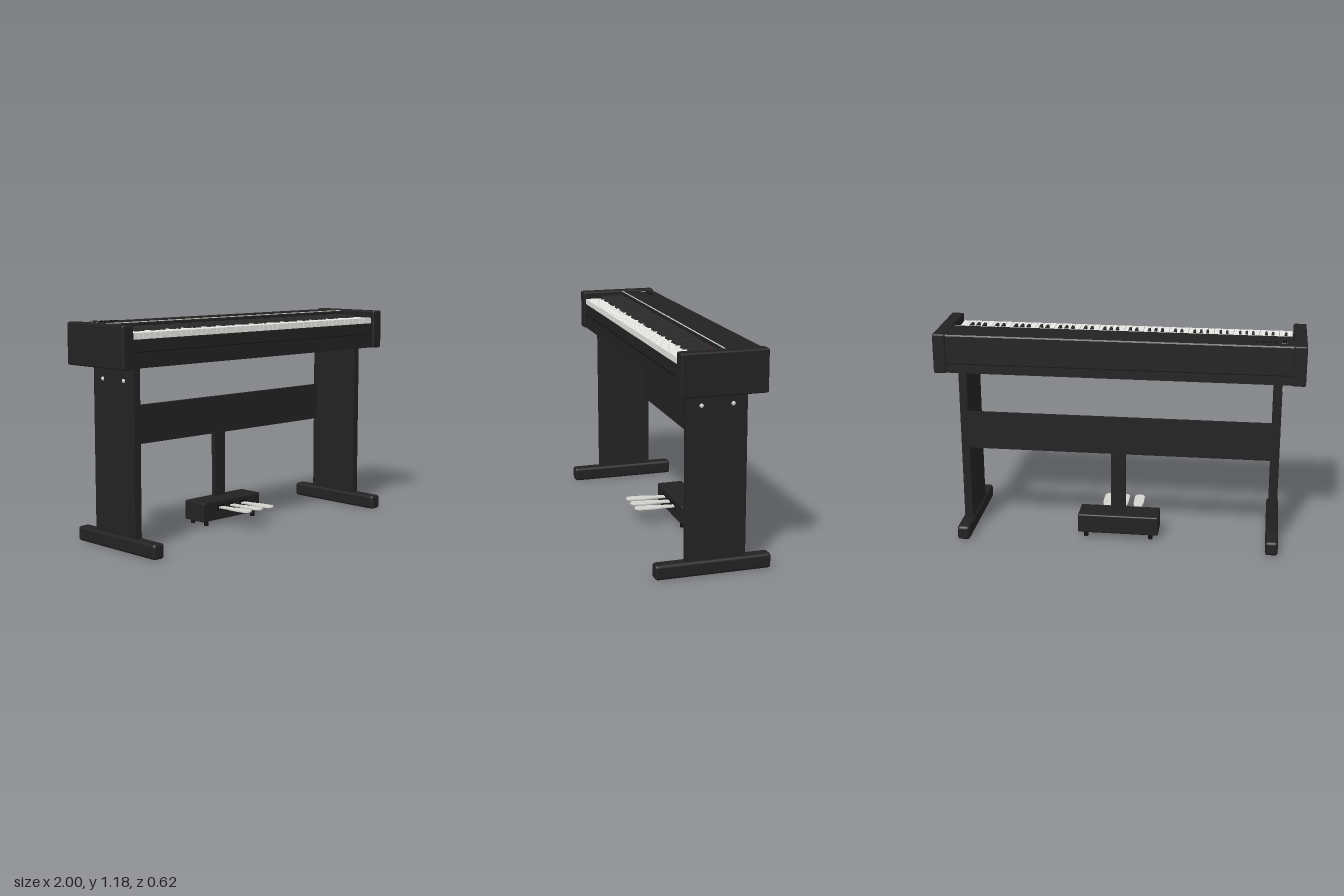
import * as THREE from 'three';
import { RoundedBoxGeometry } from 'three/addons/geometries/RoundedBoxGeometry.js';

const material = (name, color, extra = {}) => {
  const m = new THREE.MeshStandardMaterial({ color, ...extra });
  m.name = name;
  return m;
};

export function createModel() {
  const model = new THREE.Group();
  model.name = 'digitalPiano';
  const casing = material('casingBlack', 0x222222);
  const trim = material('trimBlack', 0x111111);
  const ivory = material('ivory', 0xe6e6e2);
  const ebony = material('ebony', 0x2c2c2c);
  const metal = material('silver', 0xd2d2ce);
  const felt = material('feltRed', 0x8a1c22);

  const add = (parent, name, geometry, mat, x = 0, y = 0, z = 0) => {
    const mesh = new THREE.Mesh(geometry, mat);
    mesh.name = name;
    mesh.position.set(x, y, z);
    parent.add(mesh);
    return mesh;
  };
  // Box given by its limits on each axis, optionally with rounded edges
  const block = (parent, name, mat, [x0, x1], [y0, y1], [z0, z1], r = 0) => {
    const size = [x1 - x0, y1 - y0, z1 - z0];
    const g = r ? new RoundedBoxGeometry(...size, 2, r) : new THREE.BoxGeometry(...size);
    return add(parent, name, g, mat, (x0 + x1) / 2, (y0 + y1) / 2, (z0 + z1) / 2);
  };
  const group = (name) => {
    const g = new THREE.Group();
    g.name = name;
    model.add(g);
    return g;
  };

  // Casing: cross-section (z, y) swept across the width
  const body = group('body');
  const section = [
    [-0.226, 0.958], [0.203, 0.958], [0.203, 1.036], [0.2, 1.039], [0.2, 1.1],
    [-0.03, 1.1], [-0.03, 1.163], [-0.036, 1.17], [-0.22, 1.17], [-0.226, 1.163],
  ];
  const shape = new THREE.Shape(section.map(([z, y]) => new THREE.Vector2(-z, y)));
  const shell = new THREE.ExtrudeGeometry(shape, { depth: 1.87, bevelEnabled: false });
  shell.translate(0, 0, -0.935).rotateY(Math.PI / 2);
  add(body, 'casing', shell, casing);
  block(body, 'frontGroove', trim, [-0.928, 0.928], [1.037, 1.041], [0.197, 0.204]);
  block(body, 'backPanel', casing, [-0.91, 0.91], [1.02, 1.135], [-0.232, -0.222]);
  block(body, 'backGroove', trim, [-0.928, 0.928], [1.008, 1.012], [-0.228, -0.222]);
  block(body, 'coverStrip', ivory, [-0.92, 0.92], [1.168, 1.172], [-0.036, -0.032]);
  block(body, 'feltStrip', felt, [-0.925, 0.925], [1.132, 1.144], [-0.031, -0.028]);
  for (const s of [-1, 1]) {
    block(body, 'cheek', casing, s < 0 ? [-1, -0.93] : [0.93, 1], [0.955, 1.175], [-0.235, 0.215], 0.009);
  }

  // Controls on the cover
  const controls = group('controls');
  add(controls, 'knobRing', new THREE.TorusGeometry(0.014, 0.0015, 6, 20).rotateX(Math.PI / 2), metal, -0.88, 1.17, -0.157);
  add(controls, 'volumeKnob', new THREE.CylinderGeometry(0.011, 0.012, 0.009, 20), trim, -0.88, 1.174, -0.157);
  for (let i = 0; i < 4; i++) {
    const x = -0.835 + i * 0.032;
    block(controls, 'button', trim, [x - 0.01, x + 0.01], [1.168, 1.176], [-0.168, -0.158]);
  }

  // Keyboard: 52 white keys starting on A, black keys on the seams
  const keys = group('keyboard');
  const pitch = 1.85 / 52;
  const whiteKey = new THREE.BoxGeometry(pitch - 0.003, 0.032, 0.228);
  const blackKey = new THREE.BoxGeometry(0.017, 0.026, 0.145);
  const p = blackKey.attributes.position;
  for (let i = 0; i < p.count; i++) {
    if (p.getY(i) > 0) {
      p.setX(i, p.getX(i) * 0.7);
      if (p.getZ(i) > 0) p.setZ(i, p.getZ(i) - 0.01);
    }
  }
  blackKey.computeVertexNormals();
  for (let i = 0; i < 52; i++) {
    const x = -0.925 + (i + 0.5) * pitch;
    add(keys, 'whiteKey', whiteKey, ivory, x, 1.118, 0.086);
    if (i < 51 && [0, 2, 3, 5, 6].includes(i % 7)) {
      add(keys, 'blackKey', blackKey, ebony, x + pitch / 2, 1.139, 0.045);
    }
  }

  // Stand: side panels, feet, screws and back board
  const stand = group('stand');
  for (const s of [-1, 1]) {
    const span = (a, b) => (s > 0 ? [a, b] : [-b, -a]);
    block(stand, 'sidePanel', casing, span(0.834, 0.88), [0.07, 0.958], [-0.172, 0.145], 0.003);
    block(stand, 'foot', casing, span(0.824, 0.894), [0, 0.08], [-0.31, 0.31], 0.016);
    for (const z of [0.07, -0.096]) {
      const screw = new THREE.SphereGeometry(0.011, 14, 10).scale(0.6, 1, 1);
      add(stand, 'screw', screw, metal, s * 0.881, 0.885, z);
    }
  }
  block(stand, 'backBoard', casing, [-0.836, 0.836], [0.505, 0.715], [-0.171, -0.147]);

  // Pedal unit hanging below the board
  const pedals = group('pedalUnit');
  block(pedals, 'column', casing, [-0.04, 0.04], [0.13, 0.51], [-0.17, -0.145]);
  block(pedals, 'pedalBox', casing, [-0.226, 0.226], [0.03, 0.14], [-0.195, -0.045], 0.008);
  for (const x of [-0.183, 0.183]) {
    for (const z of [-0.175, -0.065]) {
      add(pedals, 'boxFoot', new THREE.CylinderGeometry(0.013, 0.013, 0.03, 14), trim, x, 0.019, z);
    }
  }
  // Pedal outline: narrow stem widening to a rounded tip
  const outline = new THREE.Shape();
  outline.moveTo(-0.015, 0);
  outline.lineTo(0.015, 0);
  outline.lineTo(0.017, 0.08);
  outline.quadraticCurveTo(0.026, 0.11, 0.027, 0.14);
  outline.lineTo(0.027, 0.21);
  outline.absarc(0, 0.21, 0.027, 0, Math.PI, false);
  outline.lineTo(-0.027, 0.14);
  outline.quadraticCurveTo(-0.026, 0.11, -0.017, 0.08);
  const pedal = new THREE.ExtrudeGeometry(outline, {
    depth: 0.006, bevelEnabled: true, bevelSize: 0.002, bevelThickness: 0.002, bevelSegments: 2, curveSegments: 10,
  });
  pedal.rotateX(Math.PI / 2);
  for (const x of [-0.088, 0, 0.088]) {
    block(pedals, 'pedalSlot', trim, [x - 0.03, x + 0.03], [0.085, 0.115], [-0.048, -0.043]);
    add(pedals, 'pedal', pedal, metal, x, 0.102, -0.052).rotation.x = -0.035;
  }
  return model;
}
